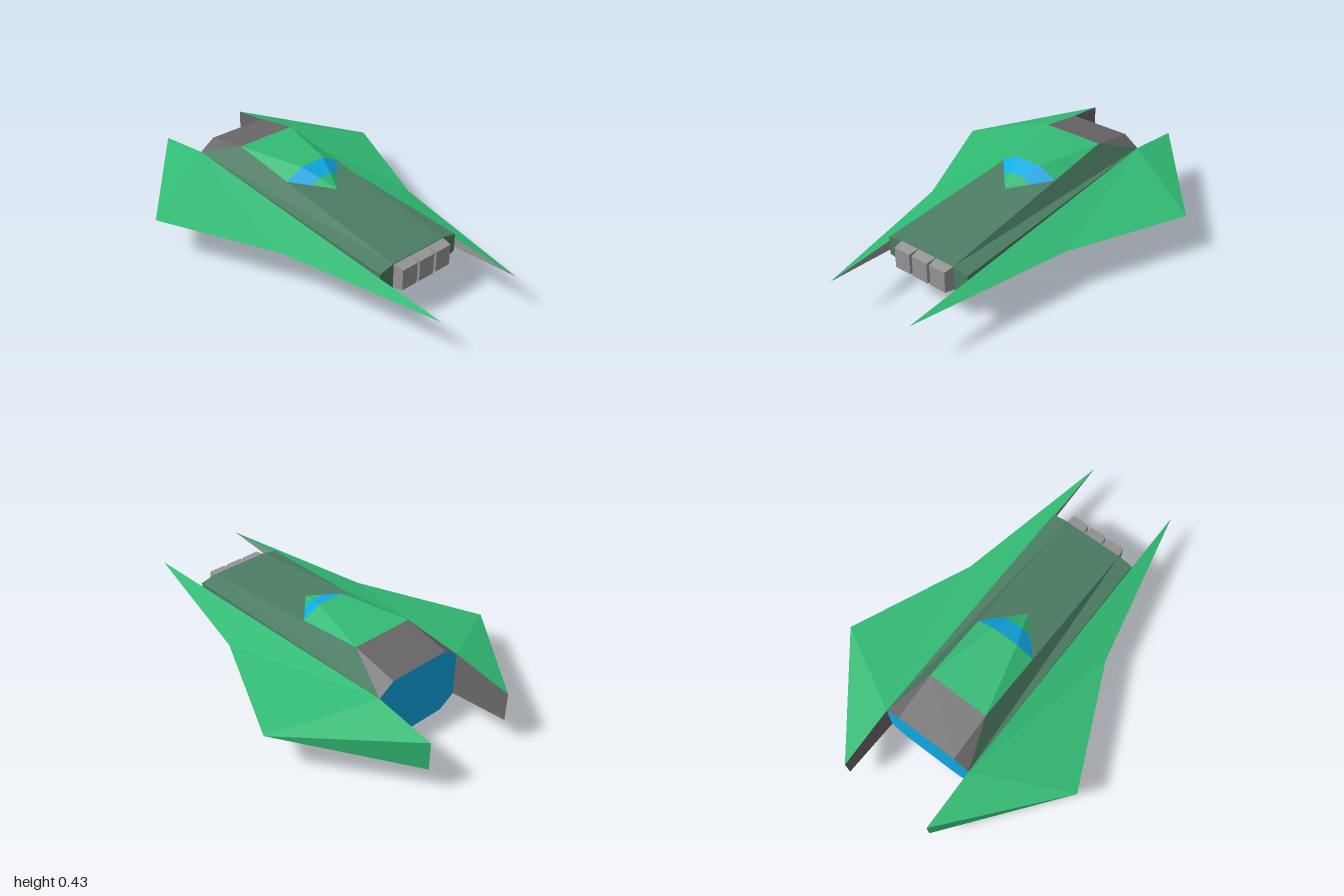
import * as THREE from 'three';

const MID = 0.22; // height of the plane of symmetry

const paint = (name, color) => {
  const m = new THREE.MeshStandardMaterial({ color });
  m.name = name;
  return m;
};

// Flat-faced mesh from convex polygons, each turned to face away from an inner point
function facets(name, material, polys, inner) {
  const ref = new THREE.Vector3(...inner);
  const pos = [];
  for (const poly of polys) {
    const v = poly.map((p) => new THREE.Vector3(...p));
    for (let i = 1; i < v.length - 1; i++) {
      const tri = new THREE.Triangle(v[0], v[i], v[i + 1]);
      const out = tri.getMidpoint(new THREE.Vector3()).sub(ref);
      const flip = tri.getNormal(new THREE.Vector3()).dot(out) < 0;
      const order = flip ? [tri.a, tri.c, tri.b] : [tri.a, tri.b, tri.c];
      order.forEach((p) => pos.push(p.x, p.y, p.z));
    }
  }
  const geo = new THREE.BufferGeometry();
  geo.setAttribute('position', new THREE.Float32BufferAttribute(pos, 3));
  geo.computeVertexNormals();
  const mesh = new THREE.Mesh(geo, material);
  mesh.name = name;
  return mesh;
}

const mirrorX = (polys) => polys.concat(polys.map((f) => f.map(([x, y, z]) => [-x, y, z])));
const mirrorY = (polys) => polys.concat(polys.map((f) => f.map(([x, y, z]) => [x, 2 * MID - y, z])));

export function createModel() {
  const green = paint('bright green', 0x32bb74);
  const hullGreen = paint('grey green', 0x4c7d64);
  const darkGrey = paint('dark grey', 0x696767);
  const lightGrey = paint('light grey', 0x969696);
  const blue = paint('blue', 0x10abe6);
  const model = new THREE.Group();
  model.name = 'spacecraft';

  // Hull: octagonal ends joined by a ridge above and below
  const W = 0.242, w = 0.162;
  const frontTop = [w, 0.285, 0.635], frontSide = [W, 0.267, 0.635];
  const backTop = [w, 0.39, -0.69], backSide = [W, 0.335, -0.69];
  const ridge = [w, 0.435, -0.45];
  const flipX = ([x, y, z]) => [-x, y, z];
  const flipY = ([x, y, z]) => [x, 2 * MID - y, z];
  const octagon = (top, side) => {
    const right = [top, side, flipY(side), flipY(top)];
    return [...right, ...right.map(flipX).reverse()];
  };
  const centre = [0, MID, 0];
  model.add(facets('hull', hullGreen, [
    ...mirrorY([[frontTop, flipX(frontTop), flipX(ridge), ridge]]),
    ...mirrorY(mirrorX([[frontTop, ridge, backSide], [frontTop, backSide, frontSide]])),
    ...mirrorX([[frontSide, backSide, flipY(backSide), flipY(frontSide)]]),
    octagon(frontTop, frontSide),
  ], centre));
  model.add(facets('tailShell', darkGrey, [
    ...mirrorY([[ridge, flipX(ridge), flipX(backTop), backTop]]),
    ...mirrorY(mirrorX([[ridge, backTop, backSide]])),
  ], centre));
  model.add(facets('engineFace', blue, [octagon(backTop, backSide)], centre));

  // Canopy: pointed nose, window band and roof running back to the ridge
  const tip = [0, 0.362, 0.09];
  const arch = [[w, 0.386, -0.09], [0.07, 0.435, -0.09]];
  arch.push(...arch.map(flipX).reverse());
  const half = arch.map((p) => p.map((c, i) => (c + tip[i]) / 2));
  const nose = [], windows = [];
  for (let i = 0; i < 3; i++) {
    nose.push([tip, half[i], half[i + 1]]);
    windows.push([half[i], arch[i], arch[i + 1], half[i + 1]]);
  }
  const under = [0, 0.3, -0.3];
  model.add(facets('canopyNose', green, nose, under));
  model.add(facets('canopyWindows', blue, windows, under));
  model.add(facets('canopyRoof', green, [
    [arch[1], arch[2], flipX(ridge), ridge],
    ...mirrorX([[arch[0], arch[1], ridge]]),
  ], under));

  // Wings: kinked delta with a thick root
  for (const [side, s] of [['left', 1], ['right', -1]]) {
    const at = (x, y, z) => [s * x, y, z];
    const point = at(W, MID, 1), kink = at(0.418, MID, 0.165), wingTip = at(0.69, MID, -0.45);
    const root = at(W, 0.335, -0.69), rear = at(W, 0.295, -1);
    const inner = at(0.26, MID, -0.4);
    const wing = new THREE.Group();
    wing.name = side + 'Wing';
    wing.add(facets('wingSkin', green, [
      ...mirrorY([[point, kink, root], [kink, wingTip, root], [wingTip, rear, root]]),
      [wingTip, rear, flipY(rear)],
    ], inner));
    wing.add(facets('wingFrontWall', lightGrey, [[point, root, flipY(root)]], inner));
    wing.add(facets('wingRearWall', darkGrey, [[root, rear, flipY(rear), flipY(root)]], inner));
    model.add(wing);
  }

  // Three tapered blocks on the bow
  for (const x of [-0.107, 0, 0.107]) {
    const geo = new THREE.BoxGeometry(0.106, 0.125, 0.054).toNonIndexed();
    const p = geo.attributes.position;
    for (let i = 0; i < p.count; i++) {
      if (p.getZ(i) > 0) p.setXY(i, p.getX(i) * 0.86, p.getY(i) * 0.86);
    }
    geo.computeVertexNormals();
    const block = new THREE.Mesh(geo, lightGrey);
    block.name = 'bowBlock';
    block.position.set(x, MID, 0.66);
    model.add(block);
  }
  return model;
}
